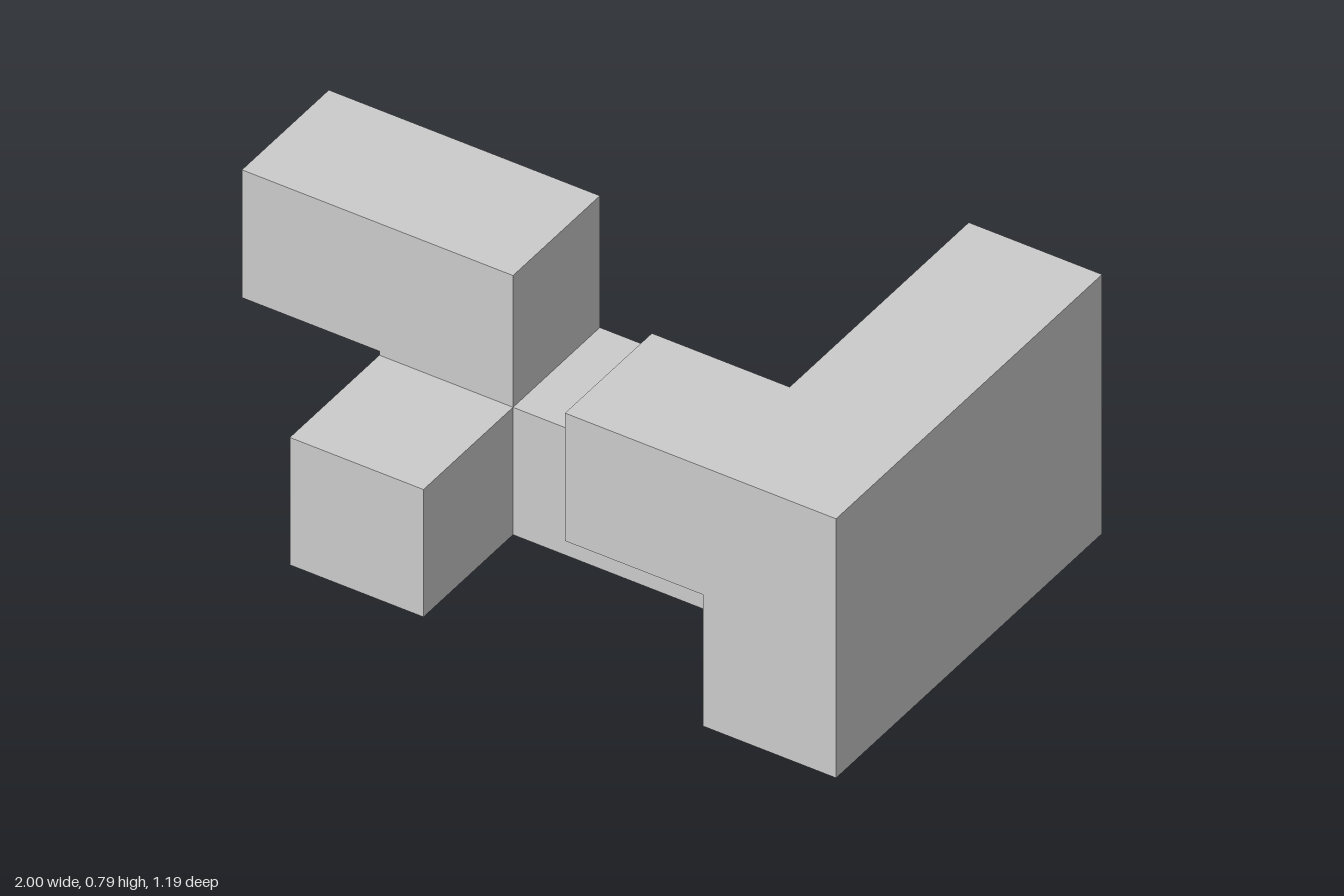
import * as THREE from 'three';

const material = new THREE.MeshStandardMaterial({ color: 0xcccccc, flatShading: true });

// Extrude a front-facing outline from z0 to z1
function slab(name, points, z0, z1) {
  const shape = new THREE.Shape(points.map(([x, y]) => new THREE.Vector2(x, y)));
  const geometry = new THREE.ExtrudeGeometry(shape, { depth: z1 - z0, bevelEnabled: false });
  geometry.translate(0, 0, z0);
  const mesh = new THREE.Mesh(geometry, material);
  mesh.name = name;
  return mesh;
}

const rect = (x0, y0, x1, y1) => [[x0, y0], [x1, y0], [x1, y1], [x0, y1]];

export function createModel() {
  const group = new THREE.Group();
  group.name = 'interlockingBlocks';

  // Cell edges: each block is slightly smaller than its cell
  const low = 0.39, mid = 0.402, top = 0.793;

  group.add(
    // Stepped bar: low beam with a raised block overhanging at one end
    slab('steppedBar', [
      [-0.598, 0], [0.61, 0], [0.61, low], [-0.207, low],
      [-0.207, top], [-1, top], [-1, mid], [-0.598, mid],
    ], -0.195, 0.195),

    // Low block projecting forward from the bar
    slab('frontFoot', rect(-0.598, 0, -0.207, low), 0.195, 0.597),

    // Tall side wall
    slab('sideWall', rect(0.61, 0, 1, top), -0.597, 0.207),

    // Front end of the wall with its raised arm
    slab('wallArm', [
      [0.61, 0], [1, 0], [1, top], [0.207, top], [0.207, mid], [0.61, mid],
    ], 0.207, 0.597),
  );
  return group;
}
